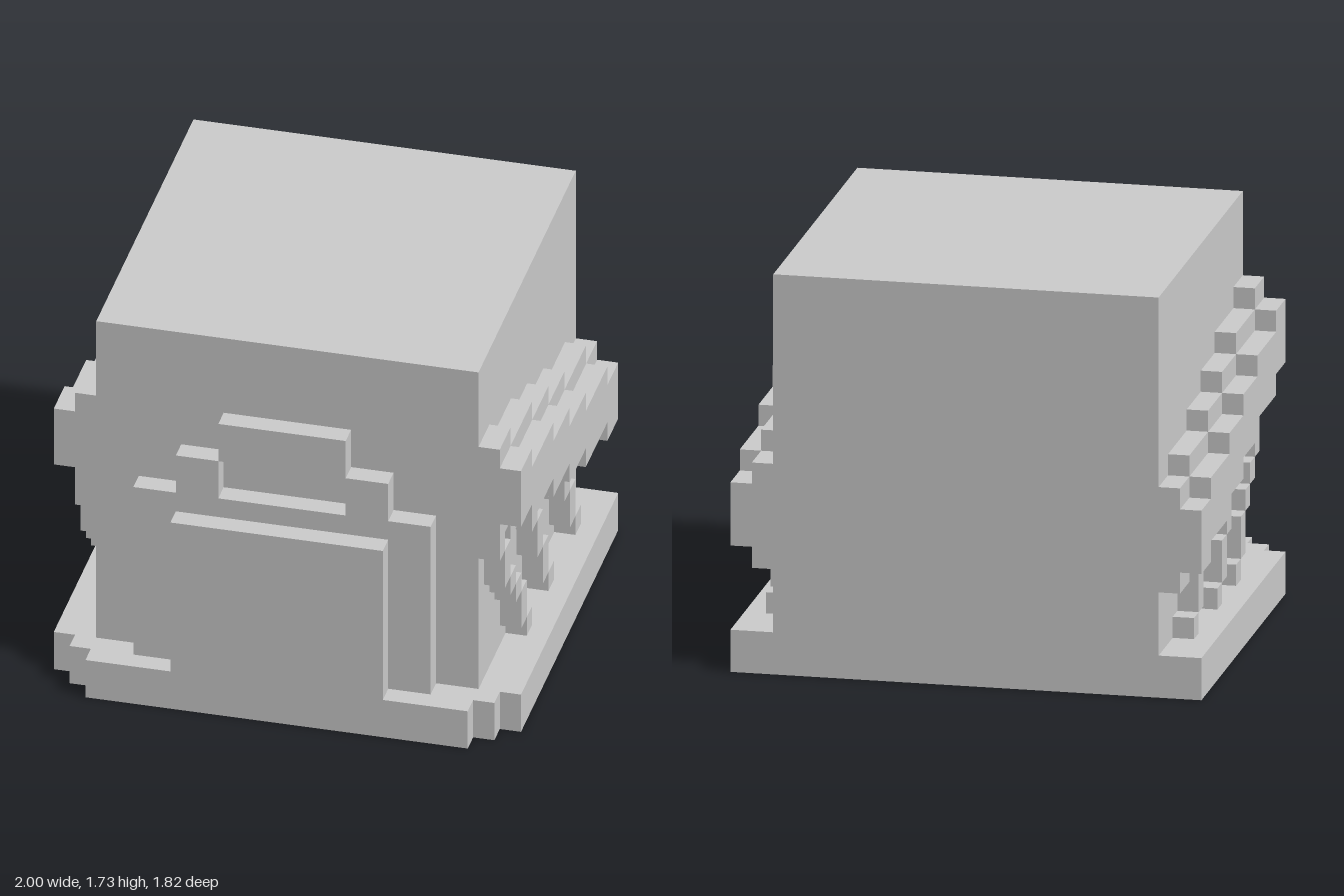
import * as THREE from 'three';

// All sizes below are whole blocks; one block is 1/11 unit.
const U = 1 / 11;
const material = new THREE.MeshStandardMaterial({ color: 0xcccccc, flatShading: true });

function add(group, name, geometry) {
  const mesh = new THREE.Mesh(geometry.scale(U, U, U), material);
  mesh.name = name;
  group.add(mesh);
}

function box(x0, x1, y0, y1, z0, z1) {
  return new THREE.BoxGeometry(x1 - x0, y1 - y0, z1 - z0)
    .translate((x0 + x1) / 2, (y0 + y1) / 2, (z0 + z1) / 2);
}

function extrude(points, depth, hole) {
  const shape = new THREE.Shape(points.map(([a, b]) => new THREE.Vector2(a, b)));
  if (hole) shape.holes.push(new THREE.Path(hole.map(([a, b]) => new THREE.Vector2(a, b))));
  return new THREE.ExtrudeGeometry(shape, { depth, bevelEnabled: false });
}

// Mirrors the +x half of an outline, given from bottom to top
function mirrored(half) {
  return [...half, ...half.map(([x, y]) => [-x, y]).reverse()];
}

// Staircase band in the z-y plane, falling one block per step towards the back
const STEPS = [8, 6, 2, -1, -4, -8, -10];
function band(top, bottom) {
  const upper = [], lower = [];
  for (let i = 0; i < STEPS.length - 1; i++) {
    upper.push([STEPS[i], top - i], [STEPS[i + 1], top - i]);
    lower.push([STEPS[i], bottom - i], [STEPS[i + 1], bottom - i]);
  }
  return extrude([...upper, ...lower.reverse()], 1).rotateY(-Math.PI / 2);
}

// Hanging strands: front z of the first block, then the y levels between blocks
const STRANDS = [
  { z: 8, levels: [10, 9, 7, 6, 5, 3, 2] },
  { z: 2, levels: [8, 7, 5, 3, 2] },
  { z: -4, levels: [6, 5, 3, 2] },
];

export function createModel() {
  const group = new THREE.Group();
  group.name = 'model';

  // Base slab with stepped front corners
  const plan = mirrored([[9, -10], [9, -9], [10, -9], [10, -8], [11, -8], [11, 10]]);
  add(group, 'base', extrude(plan, 2).rotateX(-Math.PI / 2));

  // Main block
  add(group, 'body', box(-9, 9, 2, 19, -10, 8));

  // Stepped door surround with a window opening
  const arch = mirrored([[7, 2], [7, 11], [5, 11], [5, 13], [3, 13], [3, 15]]);
  const opening = [[-3, 11], [-3, 13], [3, 13], [3, 11]];
  add(group, 'doorSurround', extrude(arch, 1, opening).translate(0, 0, 8));
  add(group, 'door', box(-5, 5, 2, 10, 9, 10));

  // Bands and strands on both sides
  for (const side of [1, -1]) {
    const sideGroup = new THREE.Group();
    sideGroup.name = side > 0 ? 'leftSide' : 'rightSide';
    add(sideGroup, 'innerBand', band(15, 10).translate(side > 0 ? 10 : -9, 0, 0));
    add(sideGroup, 'outerBand', band(14, 11).translate(side > 0 ? 11 : -10, 0, 0));
    for (const { z, levels } of STRANDS) {
      for (let i = 0; i < levels.length - 1; i++) {
        const x = side > 0 ? 9 : -10;
        add(sideGroup, 'strand', box(x, x + 1, levels[i + 1], levels[i], z - i - 1, z - i));
      }
    }
    group.add(sideGroup);
  }
  return group;
}
